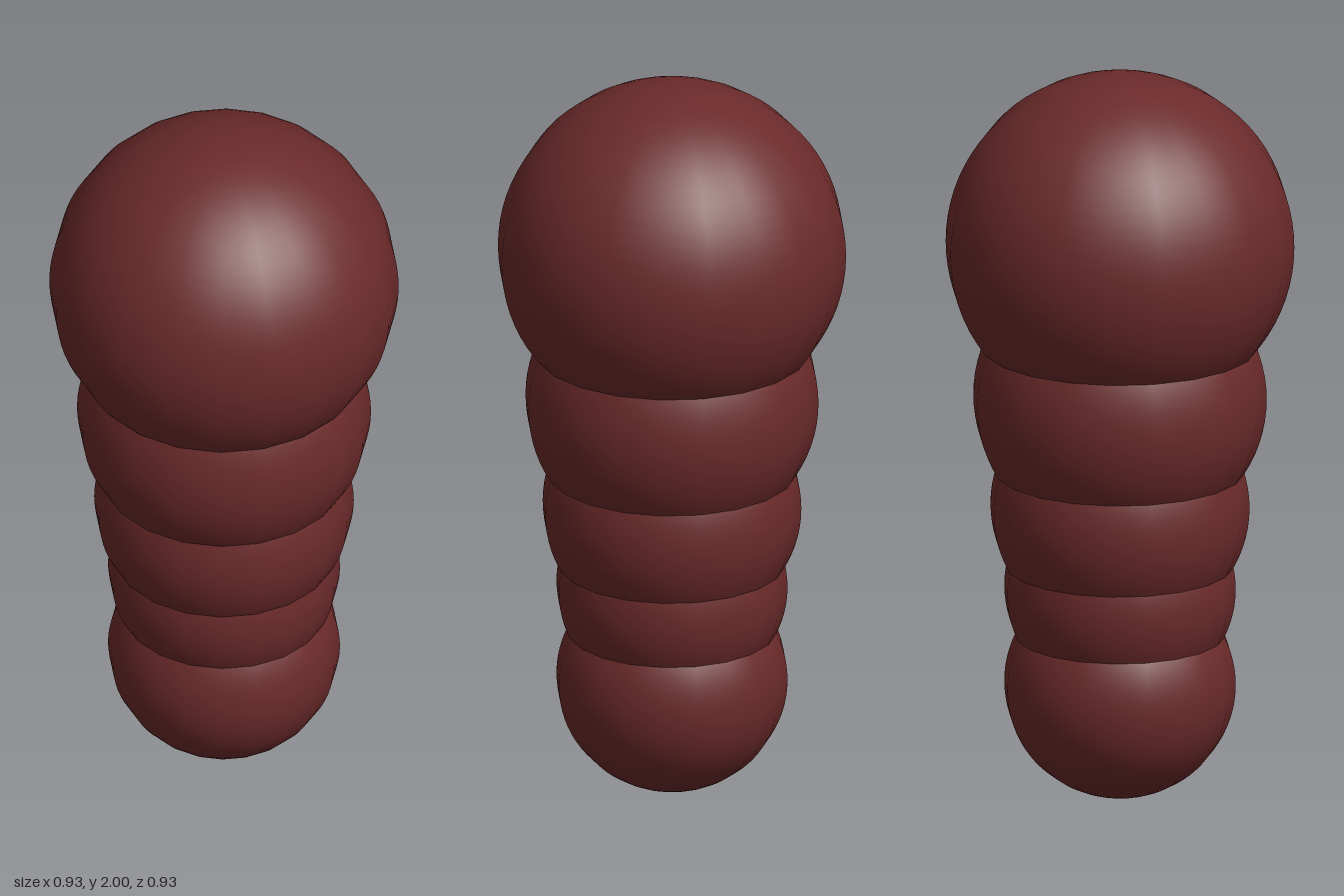
import * as THREE from 'three';

export function createModel() {
  const group = new THREE.Group();
  group.name = 'segmentedBody';
  const material = new THREE.MeshStandardMaterial({ color: 0x6b2a2a });

  // Overlapping balls stacked from bottom to top: name, radius, centre height
  const balls = [
    ['tailBall', 0.31, 0.312],
    ['lowerBall', 0.31, 0.578],
    ['middleBall', 0.347, 0.805],
    ['upperBall', 0.393, 1.108],
    ['headBall', 0.467, 1.533],
  ];
  for (const [name, radius, y] of balls) {
    // Twenty sides around, finer rings from pole to pole
    const ball = new THREE.Mesh(new THREE.SphereGeometry(radius, 20, 40), material);
    ball.name = name;
    ball.position.y = y;
    group.add(ball);
  }
  return group;
}
